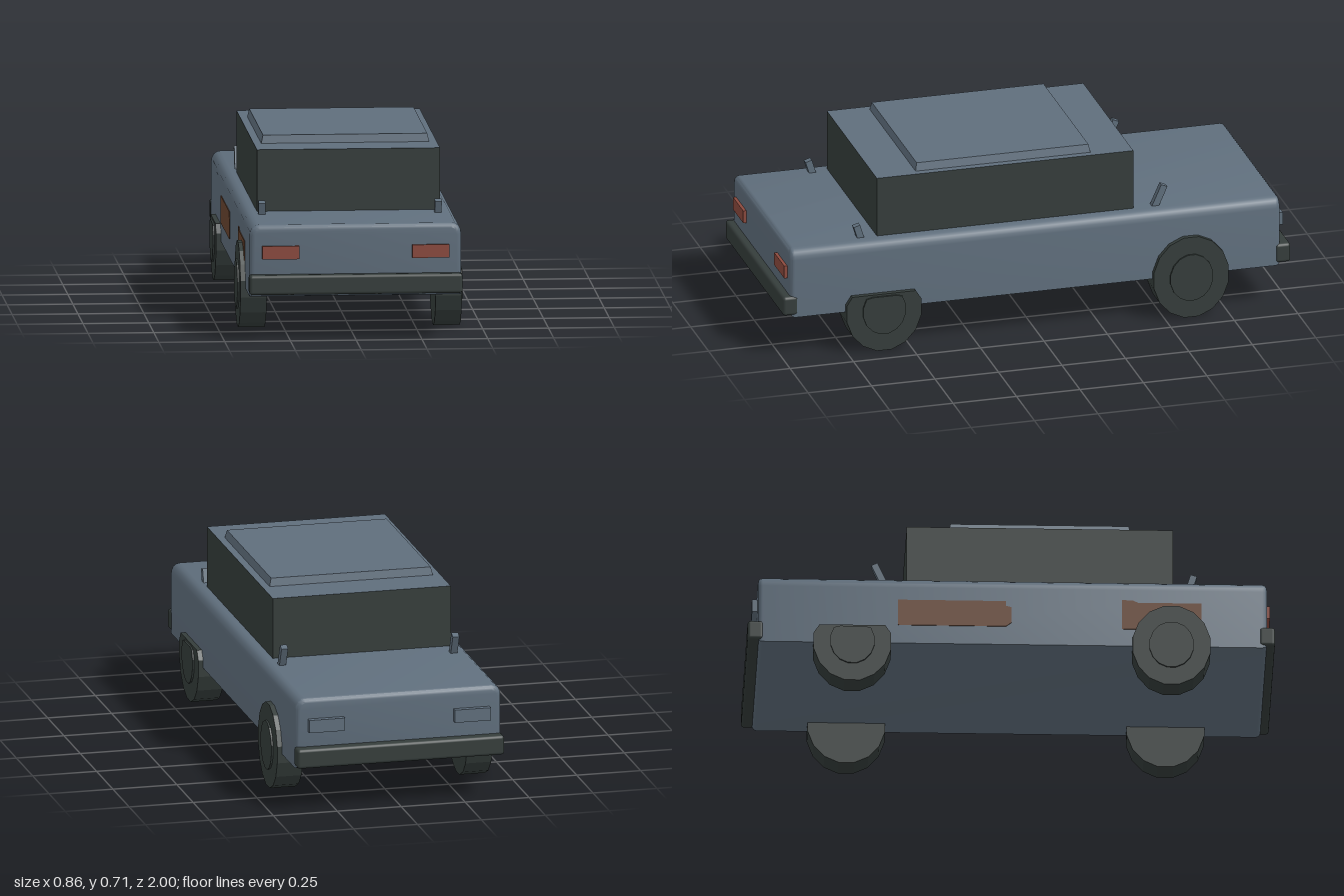
import * as THREE from 'three';
import { toCreasedNormals } from 'three/addons/utils/BufferGeometryUtils.js';
import { RoundedBoxGeometry } from 'three/addons/geometries/RoundedBoxGeometry.js';

const paint = (name, color) => {
  const m = new THREE.MeshStandardMaterial({ color });
  m.name = name;
  return m;
};

export function createModel() {
  const car = new THREE.Group();
  car.name = 'car';
  const blue = paint('slate blue paint', 0x5f6e7c);
  const dark = paint('dark rubber and glass', 0x353d3b);
  const red = paint('lamp red', 0x8c4a3e);
  const rust = paint('rust brown', 0x6b4630);

  const add = (name, geometry, material, x = 0, y = 0, z = 0) => {
    const mesh = new THREE.Mesh(geometry, material);
    mesh.name = name;
    mesh.position.set(x, y, z);
    car.add(mesh);
    return mesh;
  };
  const box = (w, h, d) => new THREE.BoxGeometry(w, h, d);

  // Lower body: rounded shoulders, softened front and rear edges
  const bevel = 0.018;
  const w = 0.402 - bevel, low = 0.165 + bevel, high = 0.44 - bevel;
  const section = new THREE.Shape();
  section.moveTo(-w, low);
  section.lineTo(w, low);
  section.lineTo(w, high - 0.025);
  section.quadraticCurveTo(w, high, w - 0.02, high);
  section.lineTo(-w + 0.02, high);
  section.quadraticCurveTo(-w, high, -w, high - 0.025);
  const bodyGeometry = new THREE.ExtrudeGeometry(section, {
    depth: 1.93 - 2 * bevel, bevelSize: bevel, bevelThickness: bevel, bevelSegments: 3, curveSegments: 4,
  });
  bodyGeometry.translate(0, 0, -0.96 + bevel);
  add('body', toCreasedNormals(bodyGeometry, 0.6), blue);

  // Cabin: dark glass walls with a painted top
  add('cabin', box(0.696, 0.24, 1.01), [dark, dark, blue, dark, dark, dark], 0, 0.556, 0.11);

  // Raised roof panel, narrower at the top
  const roof = box(0.64, 0.034, 0.69);
  const p = roof.attributes.position;
  for (let i = 0; i < p.count; i++) {
    if (p.getY(i) > 0) p.setXYZ(i, p.getX(i) * 0.975, p.getY(i), p.getZ(i) * 0.98);
  }
  roof.computeVertexNormals();
  add('roofPanel', roof, blue, 0, 0.69, 0.11);

  // Bumpers, lamps and upright stalks at both ends
  for (const end of [1, -1]) {
    const place = end > 0 ? 'front' : 'rear';
    add(place + 'Bumper', new RoundedBoxGeometry(0.81, 0.076, 0.06, 2, 0.012), dark, 0, 0.213, end * 0.97);
    for (const side of [1, -1]) {
      add(place + 'Lamp', box(0.14, 0.05, 0.03), end > 0 ? red : blue, side * 0.285, 0.335, end * 0.967);
      const tall = end > 0 ? 0.065 : 0.1;
      const stalk = add(place + 'Stalk', box(0.026, tall, 0.026), blue,
        side * 0.335, end > 0 ? 0.457 : 0.473, end > 0 ? 0.684 : -0.497);
      stalk.rotation.x = end * (end > 0 ? 0.3 : 0.42);
    }
  }

  // Wheel discs; a low limit gives a worn wheel with a flattened top
  const disc = (rz, ry, depth, limit) => {
    const points = [];
    for (let i = 0; i < 16; i++) {
      const a = ((i + 0.5) / 16) * Math.PI * 2;
      points.push(new THREE.Vector2(Math.cos(a) * rz, Math.min(0.163 + Math.sin(a) * ry, limit)));
    }
    const g = new THREE.ExtrudeGeometry(new THREE.Shape(points), { depth, bevelEnabled: false });
    return g.translate(0, 0, -depth / 2).rotateY(Math.PI / 2);
  };
  for (const side of [1, -1]) {
    for (const end of [1, -1]) {
      const flattened = side === end;
      const name = (end > 0 ? 'front' : 'rear') + (side > 0 ? 'Left' : 'Right');
      const z = end * 0.605 + 0.002;
      add(name + 'Tyre', disc(0.15, 0.166, 0.1, flattened ? 0.23 : 1), dark, side * 0.371, 0, z);
      add(name + 'Hub', disc(0.085, 0.095, 0.02, flattened ? 0.222 : 1), dark, side * 0.418, 0, z);
    }
  }

  // Rust patches on the right flank, as [z, y] outlines
  const patches = [
    [[-0.43, 0.24], [-0.43, 0.345], [-0.02, 0.345], [-0.02, 0.325], [0, 0.32], [0, 0.255], [-0.02, 0.24]],
    [[0.42, 0.235], [0.42, 0.355], [0.46, 0.355], [0.48, 0.345], [0.72, 0.345], [0.72, 0.235]],
  ];
  for (const outline of patches) {
    const shape = new THREE.Shape(outline.map(([z, y]) => new THREE.Vector2(z, y)));
    const plate = new THREE.ExtrudeGeometry(shape, { depth: 0.006, bevelEnabled: false });
    add('rustPatch', plate.rotateY(-Math.PI / 2), rust, -0.399);
  }
  return car;
}
